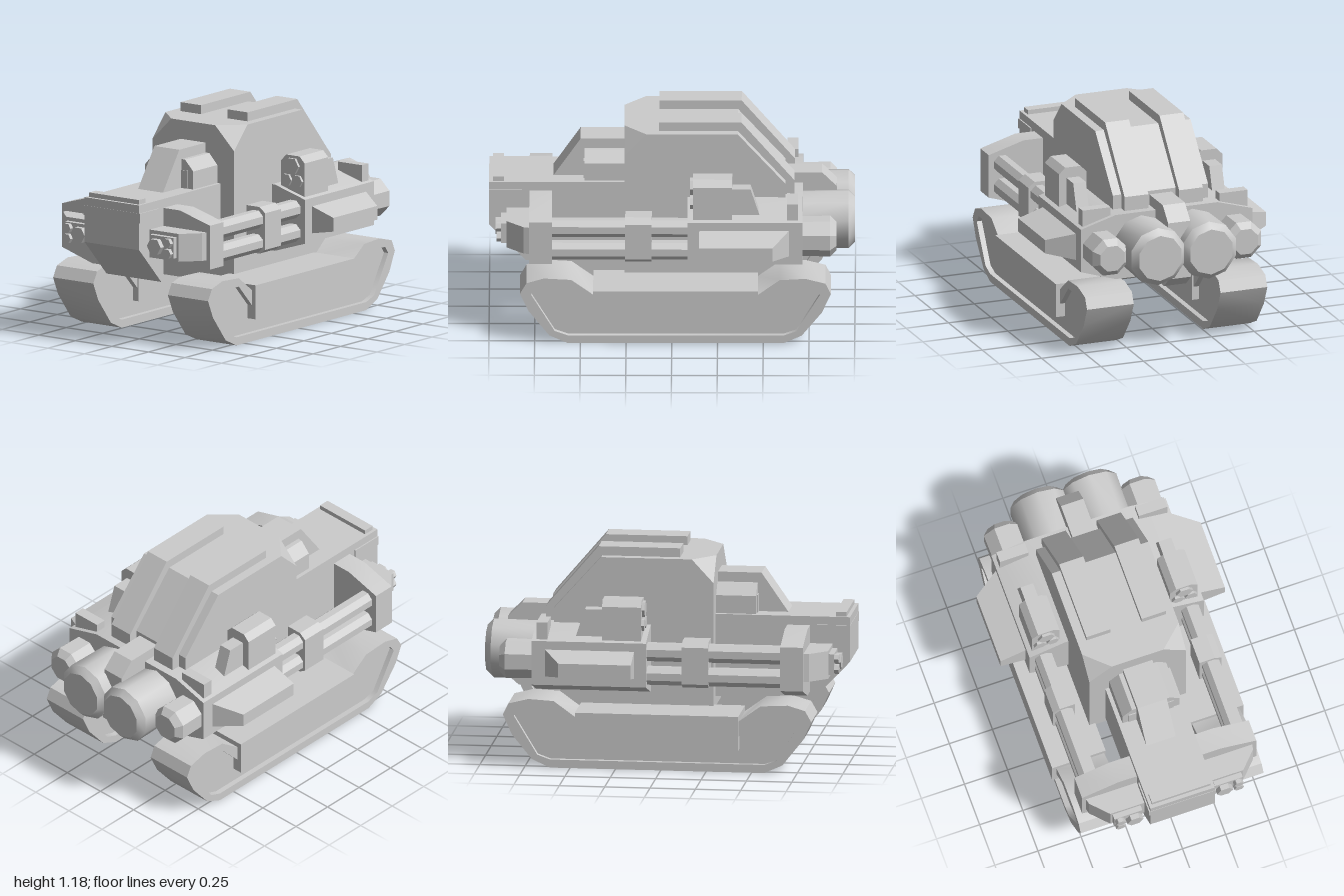
import * as THREE from 'three';
import { toCreasedNormals } from 'three/addons/utils/BufferGeometryUtils.js';
import { ConvexGeometry } from 'three/addons/geometries/ConvexGeometry.js';

const material = new THREE.MeshStandardMaterial({ color: 0xcccccc });
const points = (list) => list.map(([x, y]) => new THREE.Vector2(x, y));

function extrude(outline, depth, hole) {
  const shape = new THREE.Shape(points(outline));
  if (hole) shape.holes.push(new THREE.Path(points(hole)));
  return new THREE.ExtrudeGeometry(shape, { depth, bevelEnabled: false });
}
// Outline in [z, y], swept from x0 to x1
const sideways = (outline, x0, x1, hole) =>
  extrude(outline, x1 - x0, hole).rotateY(-Math.PI / 2).translate(x1, 0, 0);
// Outline in [x, y], swept from z0 to z1
const lengthways = (outline, z0, z1) => extrude(outline, z1 - z0).translate(0, 0, z0);
// Outline in [x, z], swept from y0 to y1
const upright = (outline, y0, y1) =>
  extrude(outline, y1 - y0).rotateX(Math.PI / 2).translate(0, y1, 0);
const box = (x0, x1, y0, y1, z0, z1) =>
  new THREE.BoxGeometry(x1 - x0, y1 - y0, z1 - z0)
    .translate((x0 + x1) / 2, (y0 + y1) / 2, (z0 + z1) / 2);
// Prism along z; turn rotates the facets
function prism(x, y, z0, z1, radius, sides, turn = 0) {
  return new THREE.CylinderGeometry(radius, radius, z1 - z0, sides)
    .rotateY(turn).rotateX(Math.PI / 2).translate(x, y, (z0 + z1) / 2);
}
// Engine body with a chamfered rear rim
function engine(x, y, front, back, radius, sides, turn) {
  const length = front - back, rim = 0.035;
  const profile = points([[0, 0], [radius * 0.96, 0], [radius, length - rim], [radius - rim, length], [0, length]]);
  return new THREE.LatheGeometry(profile, sides)
    .rotateY(turn).rotateX(-Math.PI / 2).translate(x, y, front);
}
// Mirrored copy across x = 0, with the winding restored
function mirrored(geometry) {
  const copy = geometry.clone().scale(-1, 1, 1);
  for (const { array, itemSize: n } of Object.values(copy.attributes)) {
    for (let i = 0; i < array.length; i += 3 * n) {
      for (let k = 0; k < n; k++) {
        [array[i + n + k], array[i + 2 * n + k]] = [array[i + 2 * n + k], array[i + n + k]];
      }
    }
  }
  return copy;
}

export function createModel() {
  const model = new THREE.Group();
  model.name = 'trackedVehicle';
  const add = (name, geometry, crease = 0.3) => {
    const mesh = new THREE.Mesh(toCreasedNormals(geometry, crease), material);
    mesh.name = name;
    model.add(mesh);
    return mesh;
  };
  const addPair = (name, geometry, crease) => {
    const left = add(name + 'Left', geometry, crease);
    const right = new THREE.Mesh(mirrored(left.geometry), material);
    right.name = name + 'Right';
    model.add(right);
  };

  // Cabin with its front top corners cut off
  const cabin = [];
  for (const s of [-1, 1]) {
    for (const [x, y, z] of [
      [0.28, 0.295, 0.26], [0.28, 1.0, 0.26], [0.15, 1.13, 0.26], [0.28, 1.13, 0.14],
      [0.28, 1.13, -0.36], [0.28, 0.84, -0.62], [0.28, 0.42, -0.62], [0.28, 0.295, -0.47],
    ]) cabin.push(new THREE.Vector3(s * x, y, z));
  }
  add('cabin', new ConvexGeometry(cabin));

  // Raised strips running over the roof and down the back
  addPair('roofStrip', sideways([
    [0.07, 1.1], [0.07, 1.18], [-0.38, 1.18], [-0.67, 0.84], [-0.67, 0.74], [-0.6, 0.74], [-0.6, 0.84], [-0.36, 1.1],
  ], 0.09, 0.23));

  // Nose and the details on it
  add('nose', sideways([[0.2, 0.35], [0.8, 0.35], [1.0, 0.56], [1.0, 0.81], [0.2, 0.81]], -0.187, 0.187));
  add('noseBand', box(-0.194, 0.194, 0.71, 0.765, 0.82, 1.002));
  add('noseCap', box(-0.17, 0.17, 0.8, 0.835, 0.92, 0.98));
  add('hood', sideways([[0.2, 0.8], [0.655, 0.8], [0.5, 1.025], [0.2, 1.025]], -0.085, 0.085));
  addPair('hoodShoulder', lengthways([
    [0.05, 0.8], [0.165, 0.8], [0.165, 0.91], [0.11, 0.97], [0.05, 0.97],
  ], 0.2, 0.48));
  addPair('hoodShoulderCap', box(0.06, 0.13, 0.8, 0.91, 0.4, 0.485));

  // Cross-section shared by the front and rear bodies
  const section = [
    [-0.3, 0.39], [0.3, 0.39], [0.505, 0.455], [0.505, 0.7], [0.3, 0.76], [-0.3, 0.76], [-0.505, 0.7], [-0.505, 0.455],
  ];
  add('rearBody', lengthways(section, -0.715, -0.085));
  add('frontBody', lengthways(section, 0.655, 0.78));

  // Tapered headlamp housings, plates and lamps
  addPair('lampHousing', upright([[0.1, 0.75], [0.49, 0.75], [0.475, 0.81], [0.385, 0.905], [0.1, 0.905]], 0.505, 0.66));
  addPair('lampPlate', box(0.21, 0.372, 0.525, 0.64, 0.89, 0.935));
  addPair('largeLamp', prism(0.26, 0.582, 0.92, 0.965, 0.047, 6, Math.PI / 6));
  for (const y of [0.552, 0.61]) {
    addPair('smallLamp', prism(0.342, y, 0.92, 0.96, 0.028, 6, Math.PI / 6));
  }

  // Twin tubes along each flank, joined by a collar
  for (const y of [0.508, 0.64]) {
    addPair('flankTube', prism(0.425, y, -0.1, 0.67, 0.053, 8, Math.PI / 8));
  }
  addPair('tubeCollar', lengthways([
    [0.36, 0.45], [0.45, 0.45], [0.488, 0.475], [0.488, 0.68], [0.45, 0.71], [0.36, 0.71],
  ], 0.11, 0.255));

  // Tapered side fins
  const fin = [];
  for (const [x, low, high, back] of [[0.49, 0.5, 0.658, -0.65], [0.65, 0.53, 0.607, -0.55]]) {
    for (const y of [low, high]) {
      for (const z of [-0.15, back]) fin.push(new THREE.Vector3(x, y, z));
    }
  }
  addPair('sideFin', new ConvexGeometry(fin));

  // Launcher boxes with hexagonal muzzles and a wedge behind
  addPair('launcher', lengthways([
    [0.32, 0.68], [0.48, 0.68], [0.48, 0.895], [0.445, 0.93], [0.355, 0.93], [0.32, 0.895],
  ], -0.33, -0.115));
  for (const [x, y, r] of [[0.4, 0.873, 0.048], [0.363, 0.792, 0.035], [0.437, 0.792, 0.035]]) {
    addPair('launcherMuzzle', prism(x, y, -0.14, -0.1, r, 6, Math.PI / 6));
  }
  addPair('launcherWedge', sideways([[-0.3, 0.7], [-0.3, 0.87], [-0.43, 0.87], [-0.485, 0.7]], 0.363, 0.437));
  addPair('rearBlock', box(0.32, 0.485, 0.7, 0.8, -0.69, -0.63));

  // Engines and the spine between them
  addPair('mainEngine', engine(0.15, 0.58, -0.6, -1.0, 0.165, 10, 0), 0.7);
  addPair('outerEngine', engine(0.392, 0.577, -0.68, -0.9, 0.112, 8, Math.PI / 8));
  add('rearSpine', sideways([
    [-0.5, 0.36], [-0.5, 0.82], [-0.82, 0.82], [-0.9, 0.74], [-0.91, 0.42], [-0.84, 0.36],
  ], -0.065, 0.065));

  // Tracks: hollow belt, recessed inner slab and a side box
  const belt = [
    [0.83, 0.29], [0.795, 0.352], [0.7, 0.38], [0.55, 0.372], [0.43, 0.285], [-0.47, 0.285], [-0.59, 0.372], [-0.73, 0.38],
    [-0.84, 0.352], [-0.87, 0.29], [-0.82, 0.18], [-0.71, 0.045], [-0.61, 0], [0.57, 0], [0.67, 0.045], [0.785, 0.19],
  ];
  const recess = [
    [0.77, 0.285], [0.74, 0.325], [0.55, 0.325], [0.43, 0.2], [-0.47, 0.2], [-0.59, 0.325],
    [-0.78, 0.325], [-0.81, 0.285], [-0.68, 0.07], [-0.61, 0.045], [0.57, 0.045], [0.64, 0.07],
  ];
  addPair('trackBelt', sideways(belt, 0.255, 0.53, recess), 0.7);
  addPair('trackCore', sideways(recess, 0.285, 0.5));
  addPair('trackBox', box(0.245, 0.555, 0.125, 0.315, -0.47, 0.43));

  return model;
}
